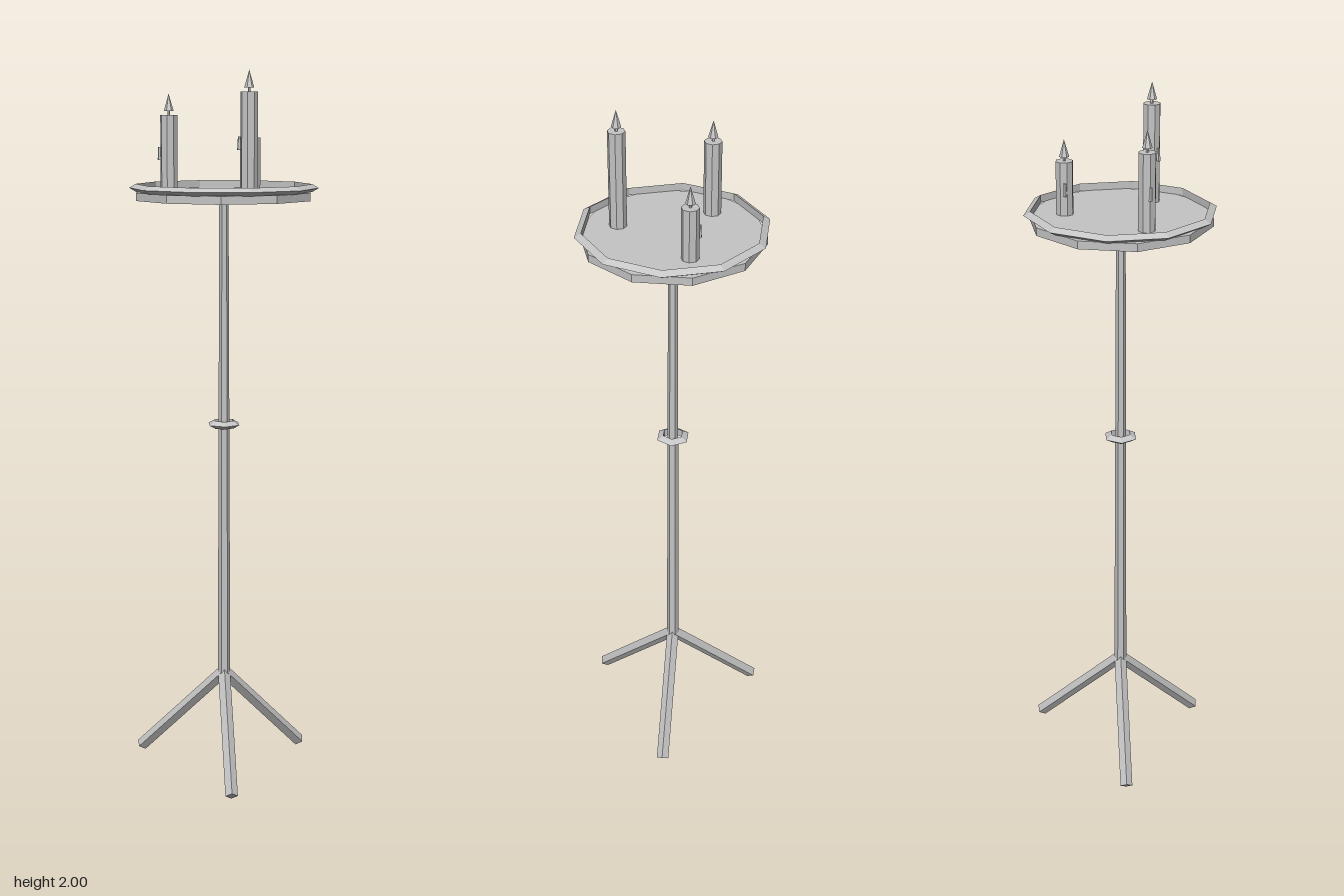
import * as THREE from 'three';

export function createModel() {
  const model = new THREE.Group();
  model.name = 'candleStand';
  const grey = new THREE.MeshStandardMaterial({ color: 0xc4c4c4, flatShading: true });
  grey.name = 'plain grey';

  const add = (parent, name, geometry, x = 0, y = 0, z = 0) => {
    const mesh = new THREE.Mesh(geometry, grey);
    mesh.name = name;
    mesh.position.set(x, y, z);
    parent.add(mesh);
    return mesh;
  };

  // Everything but the candles is centred on the post axis
  const stand = new THREE.Group();
  stand.name = 'stand';
  stand.position.x = -0.0125;
  model.add(stand);

  // Tapered six-sided post
  const postBottom = 0.28, trayBottom = 1.65, trayTop = 1.672;
  add(stand, 'post', new THREE.CylinderGeometry(0.013, 0.018, trayBottom - postBottom, 6),
    0, (postBottom + trayBottom) / 2, 0);

  // Rings with a triangular section: collar and tray rim
  const ring = (name, radius, tube, sides, y) => {
    const geometry = new THREE.TorusGeometry(radius, tube, 3, sides);
    geometry.rotateX(Math.PI / 2);
    add(stand, name, geometry, 0, y, 0);
  };
  ring('collar', 0.036, 0.0125, 6, 1.018);
  ring('trayRim', 0.25, 0.0125, 10, 1.682);

  // Ten-sided tray
  add(stand, 'tray', new THREE.CylinderGeometry(0.25, 0.25, trayTop - trayBottom, 10),
    0, (trayTop + trayBottom) / 2, 0);

  // Three splayed legs, diamond in section
  const reach = 0.275, footY = 0.0125, hipY = 0.285;
  const drop = hipY - footY;
  for (let i = 0; i < 3; i++) {
    const pivot = new THREE.Group();
    pivot.name = 'leg' + (i + 1);
    pivot.rotation.y = (i * Math.PI * 2) / 3;
    const leg = add(pivot, 'legBar',
      new THREE.CylinderGeometry(0.0175, 0.0175, Math.hypot(reach, drop), 4),
      reach / 2, (hipY + footY) / 2, 0);
    leg.rotation.z = Math.atan2(reach, drop);
    stand.add(pivot);
  }

  // Candles: position, top height and the offset of the wax drip
  const candles = [
    { x: -0.133, z: -0.092, top: 1.88, drip: [-0.019, -0.018] },
    { x: 0.125, z: -0.06, top: 1.817, drip: [-0.013, -0.023] },
    { x: -0.032, z: 0.148, top: 1.942, drip: [-0.025, -0.01] },
  ];
  candles.forEach(({ x, z, top, drip }, i) => {
    const candle = new THREE.Group();
    candle.name = 'candle' + (i + 1);
    candle.position.set(x, trayTop, z);
    model.add(candle);
    const height = top - trayTop;
    add(candle, 'wax', new THREE.CylinderGeometry(0.024, 0.024, height, 8), 0, height / 2, 0);
    add(candle, 'wick', new THREE.CylinderGeometry(0.004, 0.004, 0.014, 5), 0, height + 0.006, 0);
    add(candle, 'flame', new THREE.ConeGeometry(0.0135, 0.047, 6), 0, height + 0.0345, 0);
    add(candle, 'drip', new THREE.CylinderGeometry(0.004, 0.006, 0.035, 5), drip[0], height / 2, drip[1]);
  });

  return model;
}
